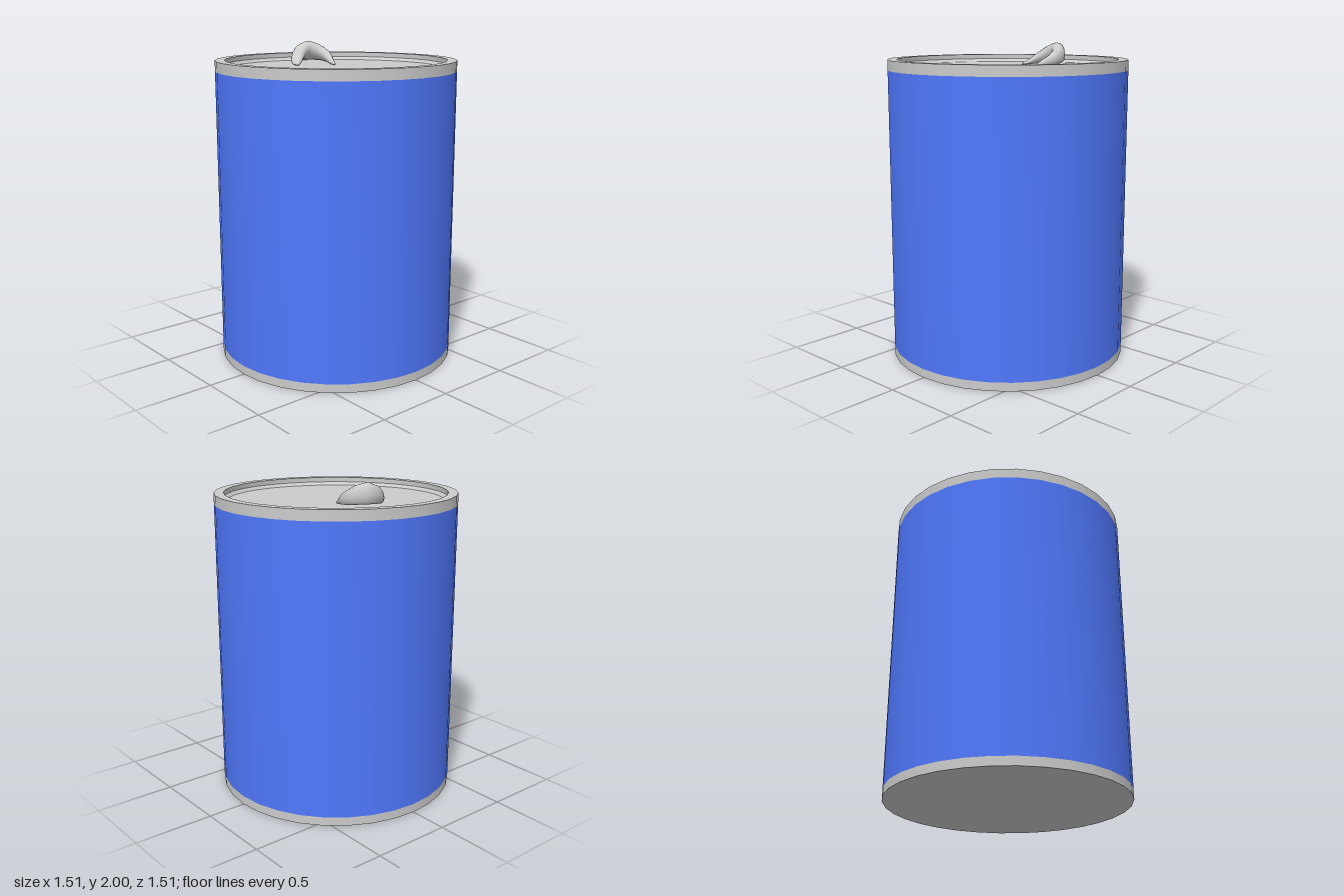
import * as THREE from 'three';
import { toCreasedNormals } from 'three/addons/utils/BufferGeometryUtils.js';

const SIDES = 32;
const RADIUS = 0.755;
const metal = new THREE.MeshStandardMaterial({ color: 0xcccccc });
const paint = new THREE.MeshStandardMaterial({ color: 0x5078fc });

// Revolved part; the profile runs upward along the outside
function revolve(name, profile, material) {
  const points = profile.map(([r, y]) => new THREE.Vector2(r, y));
  const geometry = toCreasedNormals(new THREE.LatheGeometry(points, SIDES), Math.PI / 6);
  const mesh = new THREE.Mesh(geometry, material);
  mesh.name = name;
  return mesh;
}

// Curled pull tab: leaning oval sections along a bent spine, tapering to both tips
function makeTab() {
  // x, z, half width, top height, lift of the inner lower edge
  const stations = [
    [-0.153, -0.113, 0.010, 1.87, 0],
    [-0.20, -0.126, 0.02, 1.90, 0.005],
    [-0.26, -0.146, 0.03, 1.937, 0.02],
    [-0.33, -0.137, 0.04, 1.977, 0.045],
    [-0.382, -0.085, 0.046, 2.0, 0.06],
    [-0.380, -0.02, 0.046, 1.982, 0.045],
    [-0.345, 0.035, 0.042, 1.943, 0.02],
    [-0.30, 0.08, 0.032, 1.893, 0.005],
    [-0.257, 0.106, 0.012, 1.868, 0],
  ];
  const smoothCurve = (points) => new THREE.CatmullRomCurve3(points, false, 'catmullrom');
  const ridge = smoothCurve(stations.map(([x, z, , top]) => new THREE.Vector3(x, top, z)));
  const sizes = smoothCurve(stations.map(([, , w, , lift]) => new THREE.Vector3(w, lift, 0)));
  const base = 1.855, rings = 24, around = 12;
  const positions = [], indices = [];

  for (let i = 0; i <= rings; i++) {
    const t = i / rings;
    const p = ridge.getPoint(t);
    const dir = ridge.getTangent(t).setY(0).normalize();
    const { x: halfWidth, y: lift } = sizes.getPoint(t);
    for (let j = 0; j < around; j++) {
      const a = (j / around) * Math.PI * 2;
      // slightly squared oval, its inner lower edge raised
      const c = Math.sign(Math.cos(a)) * Math.abs(Math.cos(a)) ** 0.8;
      const low = base + lift * (1 - c) / 2;
      const y = low + (p.y - low) * (1 + Math.sin(a)) / 2;
      positions.push(p.x - dir.z * c * halfWidth, y, p.z + dir.x * c * halfWidth);
    }
  }
  for (let i = 0; i < rings; i++) {
    for (let j = 0; j < around; j++) {
      const a = i * around + j, b = i * around + (j + 1) % around;
      indices.push(a, a + around, b, b, a + around, b + around);
    }
  }
  // tip caps
  const last = rings * around;
  for (let j = 1; j < around - 1; j++) {
    indices.push(0, j, j + 1, last, last + j + 1, last + j);
  }
  const geometry = new THREE.BufferGeometry();
  geometry.setAttribute('position', new THREE.Float32BufferAttribute(positions, 3));
  geometry.setIndex(indices);
  geometry.computeVertexNormals();
  const mesh = new THREE.Mesh(geometry, metal);
  mesh.name = 'pullTab';
  return mesh;
}

export function createModel() {
  const can = new THREE.Group();
  can.name = 'can';

  // shallow domed bottom with a thin metal band
  const dome = [0, 0.2, 0.4, 0.6, 0.8, 1].map((t) => [RADIUS * t, 0.05 * (1 - t * t)]);
  can.add(revolve('bottom', dome, metal));
  can.add(revolve('bottomBand', [[RADIUS, 0], [RADIUS, 0.055]], metal));

  // painted wall
  can.add(revolve('body', [[RADIUS, 0.055], [RADIUS, 1.84]], paint));

  // raised rim stepping down to the recessed lid
  can.add(revolve('topRim', [
    [RADIUS, 1.84], [RADIUS, 1.905], [0.695, 1.905], [0.695, 1.875], [0.674, 1.855],
  ], metal));
  can.add(revolve('lid', [[0.674, 1.855], [0, 1.855]], metal));

  can.add(makeTab());
  return can;
}
